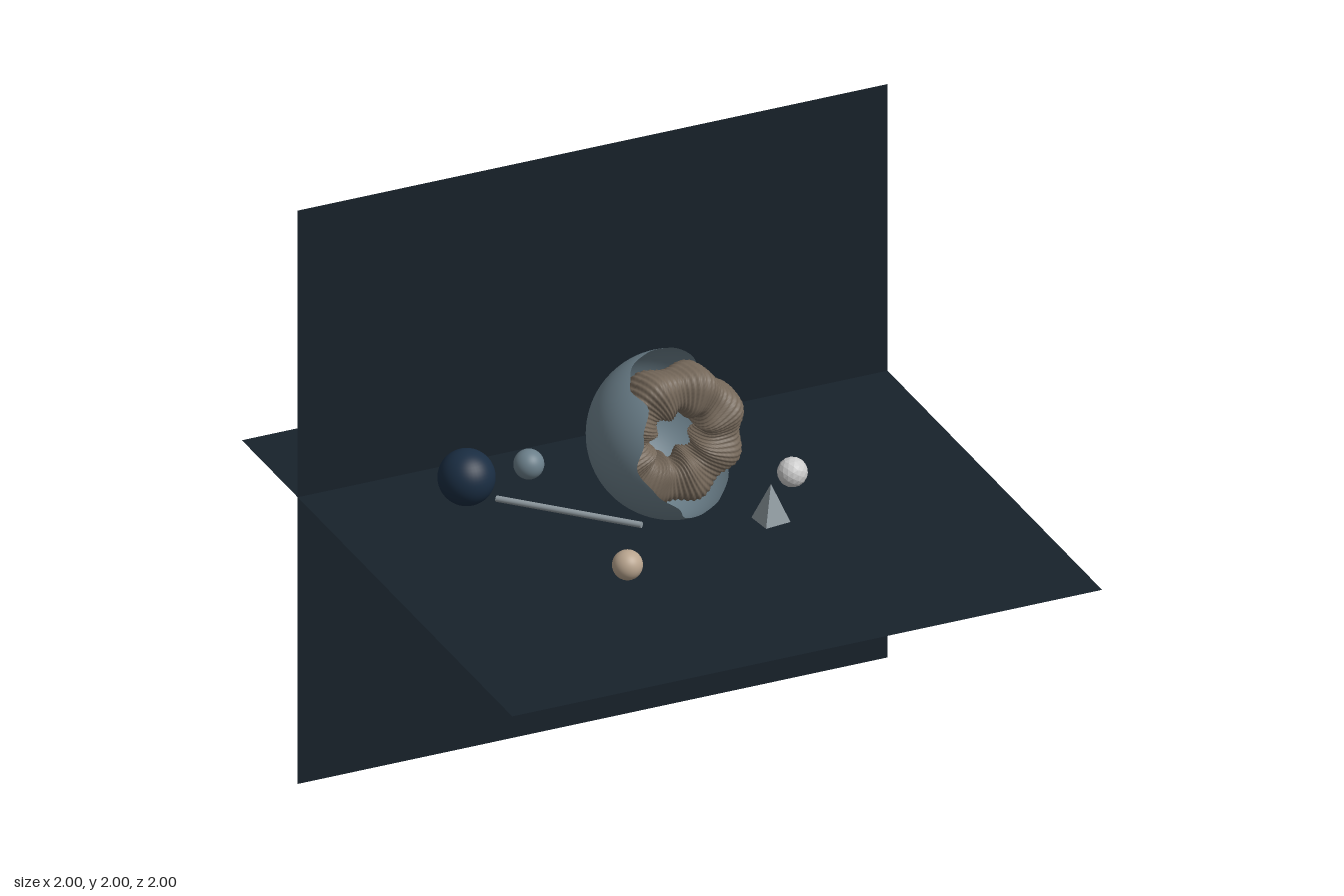
import * as THREE from 'three';

const FLOOR = 1.0;
const CENTRE = new THREE.Vector3(0, 1.283, 0);

function createMesh(name, geometry, color, options = {}) {
  const mesh = new THREE.Mesh(geometry, new THREE.MeshStandardMaterial({ color, ...options }));
  mesh.name = name;
  return mesh;
}

// Open bowl: a hemisphere whose rim rises and falls around the opening
function createShell() {
  const R = 0.266;
  const rim = [0.01, 0.045, 0.06, 0.055, 0.012, -0.008, 0.005, 0.07, 0.04, -0.015,
    0.005, 0.03, 0.002, 0.015, 0.04, 0.05, 0.03, 0.012];
  const rimHeight = (phi) => {
    const f = ((phi / (2 * Math.PI) + 1) % 1) * rim.length;
    const i = Math.floor(f) % rim.length;
    const t = (1 - Math.cos((f - Math.floor(f)) * Math.PI)) / 2;
    return THREE.MathUtils.lerp(rim[i], rim[(i + 1) % rim.length], t);
  };
  const geo = new THREE.SphereGeometry(R, 108, 28, 0, Math.PI * 2, 0, Math.PI / 2);
  const pos = geo.attributes.position;
  const p = new THREE.Vector3();
  for (let i = 0; i < pos.count; i++) {
    p.fromBufferAttribute(pos, i);
    const phi = Math.atan2(p.z, p.x);
    const reach = Math.acos(-rimHeight(phi) / R) / (Math.PI / 2);
    const theta = Math.acos(THREE.MathUtils.clamp(p.y / R, -1, 1)) * reach;
    p.set(Math.sin(theta) * Math.cos(phi), Math.cos(theta), Math.sin(theta) * Math.sin(phi));
    geo.attributes.normal.setXYZ(i, p.x, p.y, p.z);
    pos.setXYZ(i, p.x * R, p.y * R, p.z * R);
  }
  // The opening faces forward, to the side and a little upward
  const n = new THREE.Vector3(0.646, 0.407, 0.646).normalize();
  const u = new THREE.Vector3(1, 0, -1).normalize();
  const v = new THREE.Vector3().crossVectors(n, u);
  geo.applyMatrix4(new THREE.Matrix4().makeBasis(u, n.clone().negate(), v));
  const shell = createMesh('shell', geo, 0x6b7f8a, { side: THREE.DoubleSide });
  shell.position.copy(CENTRE);
  return shell;
}

// Ring of eight swollen lobes with fine winding ridges
function createRing() {
  const R = 0.155;
  const geo = new THREE.TorusGeometry(R, 0.075, 32, 576);
  const pos = geo.attributes.position;
  for (let i = 0; i < pos.count; i++) {
    const x = pos.getX(i), y = pos.getY(i), z = pos.getZ(i);
    const a = Math.atan2(y, x);
    const w = Math.atan2(z, Math.hypot(x, y) - R);
    const lobe = 1 - 0.15 * Math.cos(8 * a + 0.8 * Math.sin(w));
    const square = 1 - 0.06 * Math.cos(4 * w);
    const r = 0.075 * lobe * square + 0.0025 * Math.sin(72 * a + 6 * w);
    const d = R + r * Math.cos(w);
    pos.setXYZ(i, d * Math.cos(a), d * Math.sin(a), r * Math.sin(w));
  }
  geo.computeVertexNormals();
  const ring = createMesh('lobedRing', geo, 0x75685a);
  ring.position.copy(CENTRE);
  return ring;
}

export function createModel() {
  const model = new THREE.Group();
  model.name = 'stillLife';

  // Floor and back wall
  const floor = createMesh('floor', new THREE.PlaneGeometry(2, 2), 0x18222b, { side: THREE.DoubleSide });
  floor.rotation.x = -Math.PI / 2;
  floor.position.y = FLOOR;
  const wall = createMesh('backWall', new THREE.PlaneGeometry(2, 2), 0x18222b, { side: THREE.DoubleSide });
  wall.position.set(0, 1, -0.587);
  model.add(floor, wall, createShell(), createRing());

  // Smooth balls
  const balls = [
    ['largeBall', 0.09, -0.55, 1.1, -0.32, 0x1a2d42],
    ['tanBall', 0.048, -0.31, 1.062, 0.347, 0xb8a48e],
    ['greyBall', 0.048, -0.31, 1.062, -0.383, 0x6b7f8a],
  ];
  for (const [name, r, x, y, z, color] of balls) {
    const ball = createMesh(name, new THREE.SphereGeometry(r, 40, 24), color);
    ball.position.set(x, y, z);
    model.add(ball);
  }

  // Faceted ball
  const gem = createMesh('facetedBall', new THREE.IcosahedronGeometry(0.048, 2), 0xcccccc, { flatShading: true });
  gem.position.set(0.407, 1.062, 0.003);
  model.add(gem);

  // Four-sided pyramid
  const pyramid = createMesh('pyramid', new THREE.ConeGeometry(0.062, 0.125, 4), 0x8c979d, { flatShading: true });
  pyramid.rotation.y = 0.9;
  pyramid.position.set(0.253, 1.077, 0.18);
  model.add(pyramid);

  // Rod lying on the floor from the large ball to beneath the shell
  const start = new THREE.Vector3(-0.465, 1.023, -0.285);
  const end = new THREE.Vector3(-0.13, 1.023, 0.06);
  const rod = createMesh('rod', new THREE.CylinderGeometry(0.01, 0.01, start.distanceTo(end), 20), 0x8c979d);
  rod.position.lerpVectors(start, end, 0.5);
  rod.quaternion.setFromUnitVectors(new THREE.Vector3(0, 1, 0), end.clone().sub(start).normalize());
  model.add(rod);

  return model;
}
